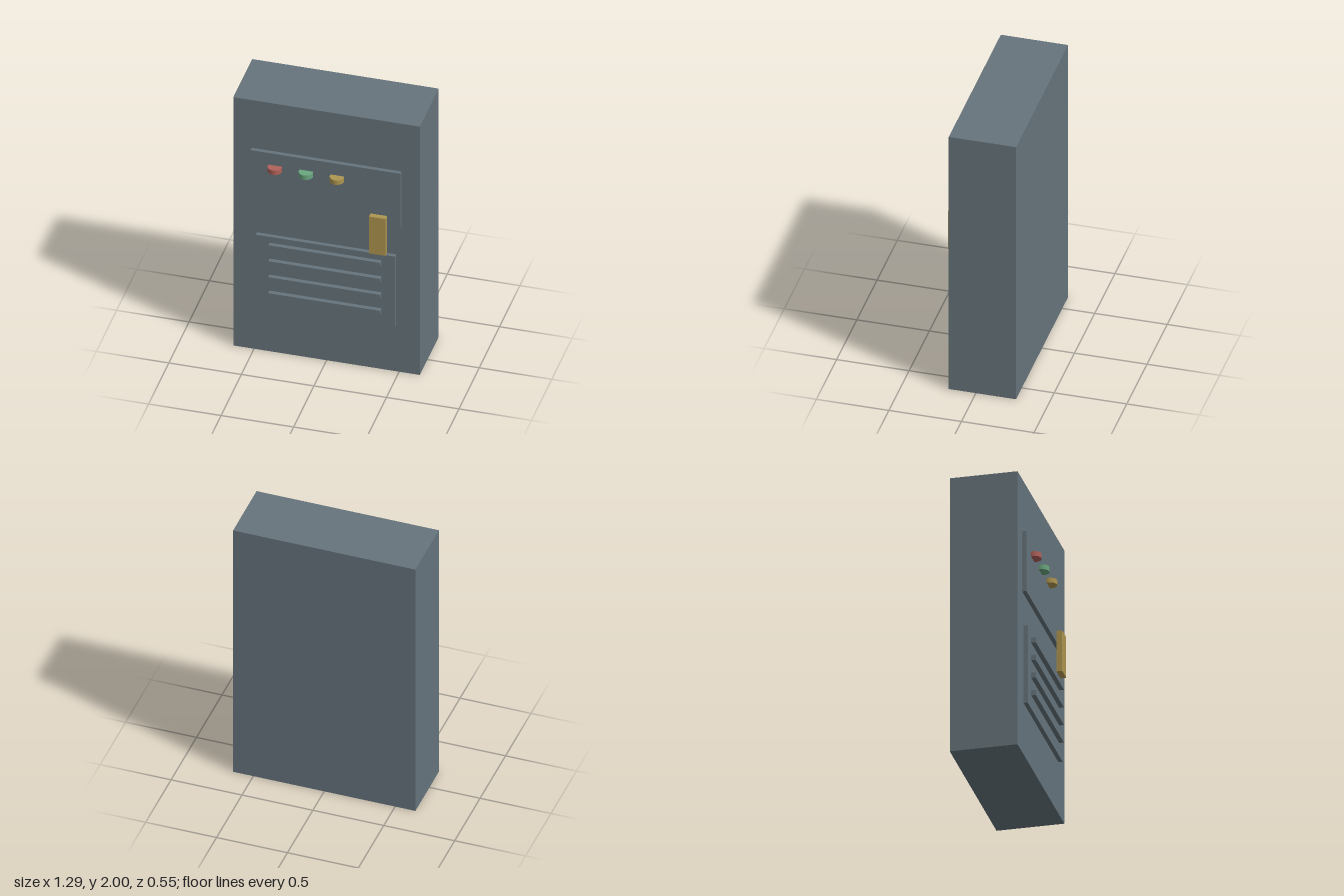
import * as THREE from 'three';

const flat = (name, color) => {
  const m = new THREE.MeshStandardMaterial({ color });
  m.name = name;
  return m;
};

export function createModel() {
  const group = new THREE.Group();
  group.name = 'controlCabinet';
  const steel = flat('steelGrey', 0x66747c);
  const red = flat('signalRed', 0xb0615a);
  const green = flat('signalGreen', 0x6aa67e);
  const brass = flat('brassYellow', 0xae9650);

  const add = (name, geometry, material, x, y, z) => {
    const mesh = new THREE.Mesh(geometry, material);
    mesh.name = name;
    mesh.position.set(x, y, z);
    group.add(mesh);
  };
  // Box given by its centre in x and y, and its z range
  const box = (name, material, w, h, x, y, z0, z1) =>
    add(name, new THREE.BoxGeometry(w, h, z1 - z0), material, x, y, (z0 + z1) / 2);

  const bodyFront = 0.187;
  const panelFront = 0.216;

  // Cabinet and its two raised panels
  box('cabinetBody', steel, 1.286, 2, 0, 1, -0.277, bodyFront);
  box('controlPanel', steel, 1.034, 0.44, 0, 1.396, bodyFront, panelFront);
  box('ventPanel', steel, 0.96, 0.566, 0, 0.659, bodyFront, panelFront);

  // Vent slats
  for (let i = 0; i < 4; i++) {
    box(`ventSlat${i + 1}`, steel, 0.77, 0.038, 0, 0.876 - i * 0.1287, panelFront, 0.248);
  }

  // Door handle
  box('handle', brass, 0.113, 0.297, 0.368, 1.111, 0.215, 0.254);

  // Indicator lights: upright discs half sunk into the control panel
  [['redLight', red], ['greenLight', green], ['yellowLight', brass]].forEach(([name, material], i) => {
    const disc = new THREE.CylinderGeometry(0.049, 0.049, 0.035, 16);
    add(name, disc, material, -0.345 + i * 0.214, 1.505, 0.228);
  });

  return group;
}
